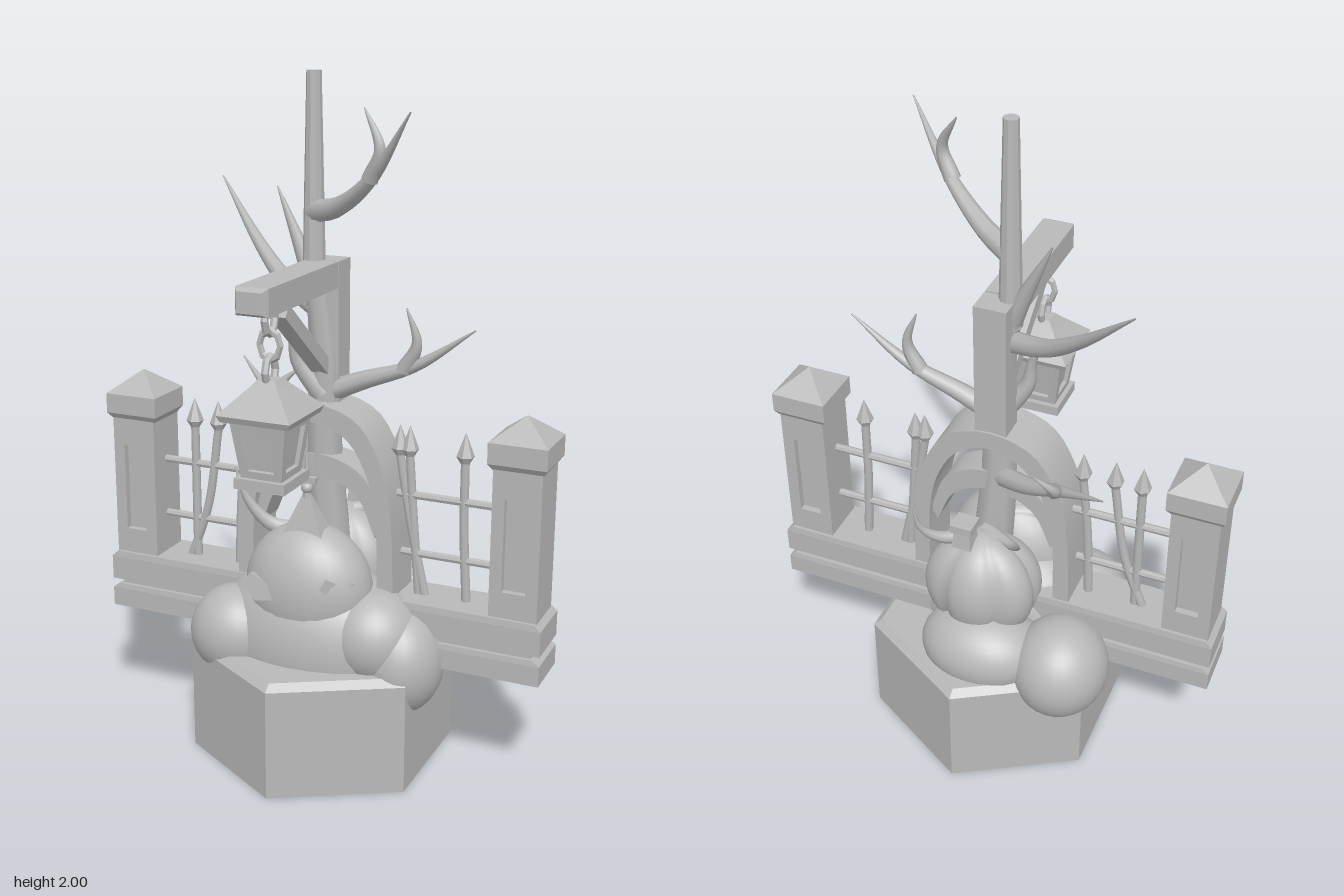
import * as THREE from 'three';
import { toCreasedNormals } from 'three/addons/utils/BufferGeometryUtils.js';

const V = (x, y, z) => new THREE.Vector3(x, y, z);
const FENCE_Z = -0.037;

export function createModel() {
  const model = new THREE.Group();
  const stone = new THREE.MeshStandardMaterial({ color: 0xb8b8b8 });
  stone.name = 'grey stone';

  const add = (name, geo, pos = [0, 0, 0], parent = model, crease = 0.5) => {
    const mesh = new THREE.Mesh(crease ? toCreasedNormals(geo, crease) : geo, stone);
    mesh.name = name;
    mesh.position.set(...pos);
    parent.add(mesh);
    return mesh;
  };
  const group = (name, x = 0, y = 0, z = 0) => {
    const g = new THREE.Group();
    g.name = name;
    g.position.set(x, y, z);
    model.add(g);
    return g;
  };
  const box = (name, w, h, d, pos, parent) => add(name, new THREE.BoxGeometry(w, h, d), pos, parent);
  // square frustum given by half widths at top and bottom
  const frustum = (top, bottom, h, depthScale = 1) =>
    new THREE.CylinderGeometry(top * Math.SQRT2, bottom * Math.SQRT2, h, 4).rotateY(Math.PI / 4).scale(1, 1, depthScale);
  const extrude = (shape, depth) =>
    new THREE.ExtrudeGeometry(shape, { depth, bevelEnabled: false, curveSegments: 16 });
  const blob = (name, pos, r, parent) =>
    add(name, new THREE.SphereGeometry(1, 28, 20).scale(...r), pos, parent, 0);

  // tapering tube along a smooth path
  const limb = (name, pts, r0, r1, parent = model, sides = 8) => {
    const curve = new THREE.CatmullRomCurve3(pts.map(p => V(...p)));
    const seg = 14, geo = new THREE.TubeGeometry(curve, seg, 1, sides), p = geo.attributes.position;
    for (let i = 0; i < p.count; i++) {
      const t = Math.floor(i / (sides + 1)) / seg, c = curve.getPointAt(t);
      const v = V(0, 0, 0).fromBufferAttribute(p, i).sub(c).multiplyScalar(r0 + (r1 - r0) * t ** 1.3).add(c);
      p.setXYZ(i, v.x, v.y, v.z);
    }
    return add(name, geo, [0, 0, 0], parent, 0);
  };

  // hexagonal base with a bevelled rim
  add('base', new THREE.CylinderGeometry(0.395, 0.395, 0.33, 6), [0, 0.165, -0.032]);
  add('baseRim', new THREE.CylinderGeometry(0.37, 0.395, 0.02, 6), [0, 0.34, -0.032]);

  // wall plinth in two courses
  box('lowerCourse', 1.38, 0.06, 0.17, [0, 0.38, FENCE_Z]);
  add('lowerCourseBevel', frustum(0.67, 0.69, 0.015, 0.122), [0, 0.4175, FENCE_Z]);
  box('plinthGroove', 1.32, 0.05, 0.14, [0, 0.435, FENCE_Z]);
  box('upperCourse', 1.38, 0.075, 0.17, [0, 0.4775, FENCE_Z]);
  add('upperCourseBevel', frustum(0.67, 0.69, 0.018, 0.122), [0, 0.524, FENCE_Z]);

  // gate pillars with sunken panels and pyramid caps
  const panel = new THREE.Shape([[-0.07, 0], [0.07, 0], [0.07, 0.44], [-0.07, 0.44]].map(p => new THREE.Vector2(...p)));
  panel.holes.push(new THREE.Path([[-0.034, 0.08], [-0.034, 0.35], [0.034, 0.35], [0.034, 0.08]].map(p => new THREE.Vector2(...p))));
  for (const s of [-1, 1]) {
    const pillar = group(s < 0 ? 'rightPillar' : 'leftPillar', s * 0.604, 0.53, FENCE_Z);
    box('shaftCore', 0.14, 0.44, 0.105, [0, 0.22, 0], pillar);
    add('frontPanel', extrude(panel, 0.02), [0, 0, 0.0525], pillar);
    add('backPanel', extrude(panel, 0.02), [0, 0, -0.0725], pillar);
    add('capFlare', frustum(0.084, 0.07, 0.02), [0, 0.44, 0], pillar);
    box('cap', 0.168, 0.06, 0.168, [0, 0.48, 0], pillar);
    add('capPyramid', frustum(0.001, 0.084, 0.065), [0, 0.5425, 0], pillar);
  }

  // iron fence: rails, straight and bent pickets with spear tips
  for (const s of [-1, 1]) for (const y of [0.655, 0.83])
    add('rail', new THREE.CylinderGeometry(0.012, 0.012, 0.33, 8).rotateZ(Math.PI / 2), [s * 0.38, y, FENCE_Z]);
  const pickets = [
    [[-0.43, 0.52], [-0.43, 0.75], [-0.43, 0.95]],
    [[-0.455, 0.52], [-0.39, 0.7], [-0.35, 0.95]],
    [[-0.285, 0.52], [-0.275, 0.75], [-0.255, 0.95]],
    [[0.30, 0.52], [0.28, 0.75], [0.265, 0.95]],
    [[0.32, 0.52], [0.27, 0.75], [0.235, 0.95]],
    [[0.445, 0.52], [0.432, 0.75], [0.43, 0.95]],
  ];
  for (const p of pickets) {
    limb('picket', p.map(([x, y]) => [x, y, FENCE_Z]), 0.014, 0.013);
    const [x, y] = p[2];
    add('spearCollar', new THREE.CylinderGeometry(0.026, 0.014, 0.02, 6), [x, y + 0.005, FENCE_Z]);
    add('spearTip', new THREE.ConeGeometry(0.026, 0.07, 6), [x, y + 0.05, FENCE_Z]);
  }

  // pointed archway with an inner band
  const archBand = (name, outer, inner, depth) => {
    const line = pts => new THREE.CatmullRomCurve3(
      [...pts.map(([x, y]) => V(-x, y, 0)), ...pts.slice(0, -1).reverse().map(([x, y]) => V(x, y, 0))]).getPoints(28);
    const shape = new THREE.Shape([...line(outer), ...line(inner).reverse()].map(p => new THREE.Vector2(p.x, p.y)));
    add(name, extrude(shape, depth), [0, 0, FENCE_Z - depth / 2]);
  };
  archBand('outerArch', [[0.25, 0.5], [0.235, 0.8], [0.2, 0.94], [0.13, 1.045], [0, 1.085]],
    [[0.2, 0.5], [0.19, 0.78], [0.155, 0.91], [0.095, 0.995], [0, 1.03]], 0.15);
  archBand('innerArch', [[0.2, 0.74], [0.14, 0.88], [0, 0.93]], [[0.18, 0.7], [0.12, 0.82], [0, 0.865]], 0.1);

  // lamp post, arm and diagonal brace
  box('post', 0.095, 0.44, 0.08, [0, 1.265, -0.065]);
  box('arm', 0.095, 0.075, 0.43, [0, 1.448, 0.195]);
  add('armEnd', frustum(0.036, 0.0475, 0.018, 0.79).rotateX(Math.PI / 2), [0, 1.448, 0.419]);
  box('brace', 0.05, 0.04, 0.36, [0, 1.285, 0.115]).rotation.x = -0.67;

  // hanging chain
  [1.385, 1.315, 1.245].forEach((y, i) =>
    add('chainLink', new THREE.TorusGeometry(0.036, 0.011, 6, 8).scale(0.85, 1.1, 1).rotateY(i % 2 ? 0 : Math.PI / 2), [0, y, 0.31]));

  // lantern: sloping frame around a sunken pane, hipped roof
  const lantern = group('lantern', 0, 0, 0.31);
  box('lanternFoot', 0.15, 0.03, 0.15, [0, 0.945, 0], lantern);
  add('lanternPane', frustum(0.068, 0.048, 0.165), [0, 1.04, 0], lantern);
  for (let k = 0; k < 4; k++) {
    const side = new THREE.Group();
    side.name = 'lanternSide';
    side.rotation.y = k * Math.PI / 2;
    lantern.add(side);
    const frame = new THREE.Shape([[-0.06, 0], [0.06, 0], [0.082, 0.165], [-0.082, 0.165]].map(p => new THREE.Vector2(...p)));
    frame.holes.push(new THREE.Path([[-0.038, 0.025], [-0.053, 0.14], [0.053, 0.14], [0.038, 0.025]].map(p => new THREE.Vector2(...p))));
    add('lanternFrame', extrude(frame, 0.016), [0, 0.958, 0.044], side).rotation.x = 0.13;
  }
  add('roofEave', frustum(0.108, 0.1, 0.018), [0, 1.128, 0], lantern);
  add('roof', frustum(0.04, 0.108, 0.07), [0, 1.172, 0], lantern);
  add('roofCap', frustum(0.025, 0.04, 0.018), [0, 1.216, 0], lantern);

  // dead tree
  const tree = group('tree');
  add('upperTrunk', new THREE.CylinderGeometry(0.021, 0.034, 0.6, 10), [-0.03, 1.7, -0.03], tree);
  limb('lowerTrunk', [[0.03, 0.5, -0.05], [0.0, 0.9, -0.04], [0.0, 1.2, -0.04], [-0.028, 1.45, -0.03]], 0.065, 0.034, tree);
  const branches = [
    [[-0.03, 1.62, -0.03], [0.07, 1.645, 0.03], [0.2, 1.74, 0.1], [0.33, 1.915, 0.17]],
    [[0.19, 1.73, 0.1], [0.225, 1.81, 0.115], [0.17, 1.915, 0.09]],
    [[-0.02, 1.35, -0.03], [-0.15, 1.4, -0.1], [-0.27, 1.49, -0.17], [-0.45, 1.67, -0.28]],
    [[-0.02, 1.38, -0.03], [-0.07, 1.5, -0.04], [-0.155, 1.68, -0.055]],
    [[0.0, 1.1, -0.04], [0.12, 1.15, -0.04], [0.28, 1.21, -0.04], [0.45, 1.325, -0.035]],
    [[0.24, 1.19, -0.04], [0.28, 1.27, -0.035], [0.25, 1.37, -0.03]],
    [[0.0, 0.9, -0.05], [-0.12, 0.95, -0.13], [-0.25, 1.02, -0.2], [-0.4, 1.11, -0.3]],
    [[-0.22, 1.0, -0.18], [-0.24, 1.05, -0.24], [-0.19, 1.1, -0.265]],
    [[0.0, 1.1, -0.02], [-0.07, 1.2, 0], [-0.08, 1.27, 0.005], [-0.11, 1.36, 0]],
    [[0.0, 0.7, 0.02], [-0.12, 0.71, 0.06], [-0.19, 0.78, 0.08], [-0.23, 0.88, 0.085]],
  ];
  branches.forEach((b, i) => limb('branch', b, [1, 5, 7].includes(i) ? 0.024 : 0.032, 0.002, tree));

  // earthen mound spilling over the base
  const mound = group('mound');
  blob('moundBody', [0, 0.37, 0.03], [0.31, 0.25, 0.2], mound);
  blob('leftSpill', [0.285, 0.35, 0.045], [0.12, 0.155, 0.135], mound);
  blob('leftShoulder', [0.2, 0.42, 0.06], [0.14, 0.14, 0.14], mound);
  blob('rightSpill', [-0.22, 0.38, 0.11], [0.14, 0.14, 0.13], mound);
  blob('rightBackSpill', [-0.26, 0.36, -0.2], [0.145, 0.155, 0.155], mound);
  blob('backSpill', [-0.02, 0.38, -0.22], [0.19, 0.13, 0.145], mound);

  // ribbed gourds in front of and behind the arch
  const gourd = (name, pos, r, lobes) => {
    const geo = new THREE.SphereGeometry(1, 48, 20), p = geo.attributes.position;
    for (let i = 0; i < p.count; i++) {
      const a = Math.atan2(p.getZ(i), p.getX(i)), k = 0.86 + 0.14 * Math.abs(Math.sin(a * lobes / 2)) ** 0.6;
      p.setXYZ(i, p.getX(i) * k * r[0], p.getY(i) * r[1], p.getZ(i) * k * r[2]);
    }
    geo.computeVertexNormals();
    add(name, geo, pos, model, 0);
  };
  blob('frontGourd', [0, 0.54, 0.07], [0.195, 0.2, 0.14]);
  gourd('backGourd', [0.01, 0.56, -0.14], [0.18, 0.18, 0.145], 6);
  add('backStem', frustum(0.022, 0.03, 0.08), [0.05, 0.76, -0.18]);
  box('backStemCap', 0.066, 0.025, 0.066, [0.05, 0.79, -0.18]);
  limb('backHorn', [[0.05, 0.72, -0.13], [0.12, 0.73, -0.19], [0.17, 0.77, -0.22], [0.19, 0.84, -0.23]], 0.025, 0.002);
  limb('backHorn', [[0.02, 0.72, -0.1], [-0.09, 0.73, -0.15], [-0.13, 0.78, -0.2]], 0.025, 0.002);

  // jagged shards on the front gourd
  const shard = new THREE.Shape([[-0.09, 0.03], [-0.06, 0.07], [0.0, 0.04], [0.06, 0.045], [0.02, 0], [-0.04, -0.01]]
    .map(p => new THREE.Vector2(...p)));
  add('shard', extrude(shard, 0.02), [-0.07, 0.535, 0.185]).rotation.x = -0.2;
  const sideShard = add('sideShard', extrude(shard, 0.02), [0.13, 0.57, 0.145]);
  sideShard.rotation.y = 0.7;
  sideShard.scale.setScalar(0.7);

  // small spire with finial
  const spire = group('spire', 0, 0, 0.085);
  box('spireFoot', 0.02, 0.05, 0.02, [0, 0.65, 0.04], spire);
  box('spireBase', 0.17, 0.018, 0.1, [0, 0.664, 0], spire);
  add('spireRoof', frustum(0.008, 0.08, 0.165, 0.58), [0, 0.755, 0], spire);
  box('spireCross', 0.06, 0.018, 0.02, [0, 0.875, 0], spire);
  blob('spireBall', [0, 0.85, 0], [0.017, 0.017, 0.017], spire);
  add('spireNeedle', new THREE.ConeGeometry(0.013, 0.2, 6), [0, 0.92, 0], spire);

  return model;
}
